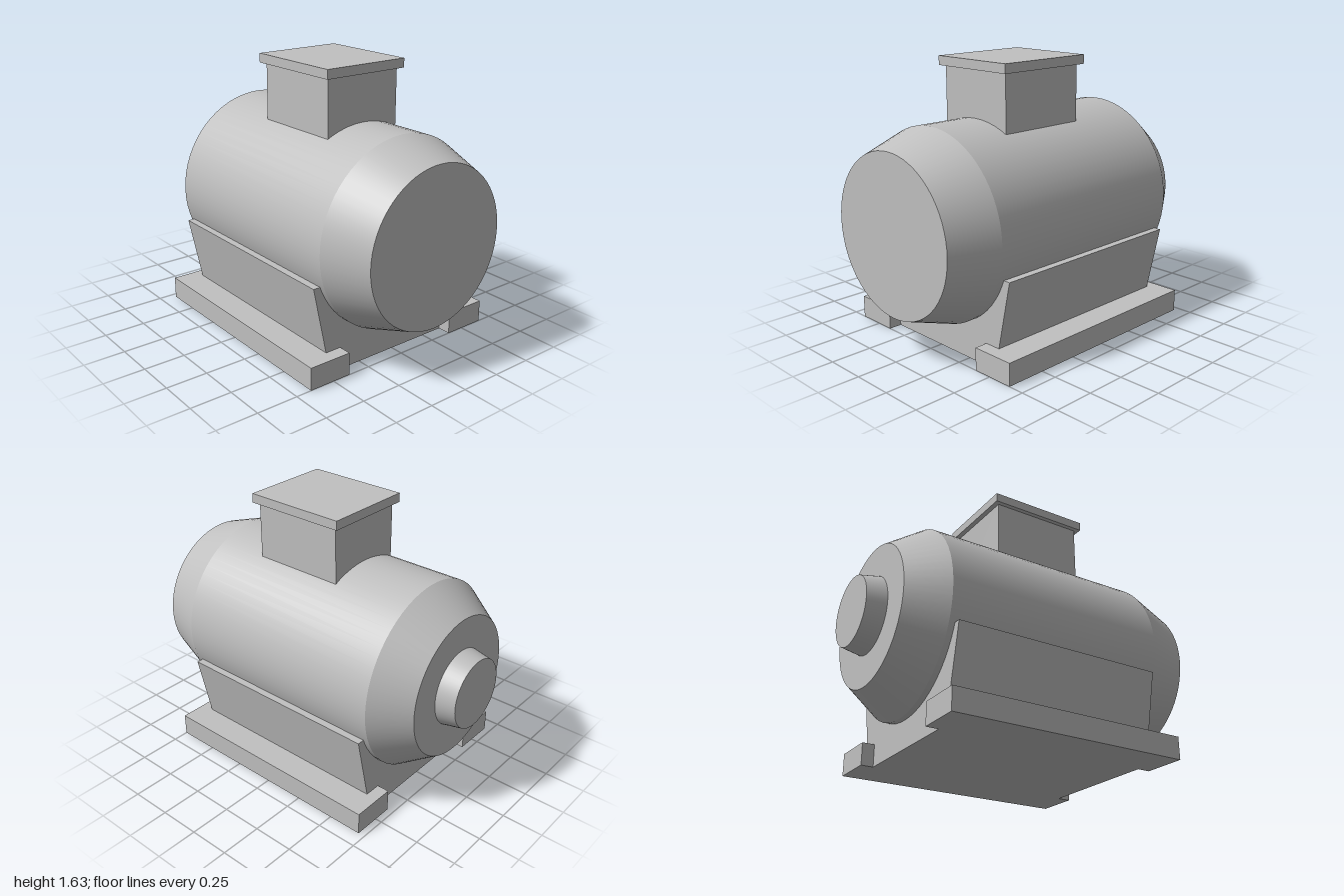
import * as THREE from 'three';

export function createModel() {
  const model = new THREE.Group();
  model.name = 'electricMotor';
  const grey = new THREE.MeshStandardMaterial({ color: 0xc0c0c0 });
  grey.name = 'machine grey';

  const add = (name, geometry) => {
    const mesh = new THREE.Mesh(geometry, grey);
    mesh.name = name;
    model.add(mesh);
    return mesh;
  };

  // Box given by its lower and upper limits on each axis
  const box = (name, [x0, x1], [y0, y1], [z0, z1]) =>
    add(name, new THREE.BoxGeometry(x1 - x0, y1 - y0, z1 - z0))
      .position.set((x0 + x1) / 2, (y0 + y1) / 2, (z0 + z1) / 2);

  // Round section along x, from radius r0 at x0 to r1 at x1
  const axisY = 0.733;
  const round = (name, x0, x1, r0, r1, open = false) => {
    const g = new THREE.CylinderGeometry(r1, r0, x1 - x0, 64, 1, open);
    g.rotateZ(-Math.PI / 2);
    add(name, g).position.set((x0 + x1) / 2, axisY, 0);
  };

  // Motor housing and shaft boss
  round('housing', -0.67, 0.71, 0.566, 0.566, true);
  round('driveEndBell', -0.885, -0.67, 0.422, 0.566);
  round('fanCover', 0.71, 1, 0.566, 0.47);
  round('shaftBoss', -1, -0.885, 0.208, 0.23);

  // Cradle with sides that flare upward
  const [cx0, cx1] = [-0.635, 0.67];
  const profile = new THREE.Shape([
    new THREE.Vector2(-0.462, 0), new THREE.Vector2(0.462, 0),
    new THREE.Vector2(0.575, 0.54), new THREE.Vector2(-0.575, 0.54),
  ]);
  const cradle = new THREE.ExtrudeGeometry(profile, { depth: cx1 - cx0, bevelEnabled: false });
  cradle.rotateY(Math.PI / 2);
  add('cradle', cradle).position.x = cx0;

  // Mounting feet, front and back
  box('frontFoot', [-0.71, 0.75], [0, 0.135], [0.39, 0.655]);
  box('backFoot', [-0.71, 0.75], [0, 0.135], [-0.655, -0.39]);

  // Terminal box and lid
  box('terminalBox', [-0.195, 0.38], [1.1, 1.58], [-0.25, 0.25]);
  box('terminalLid', [-0.225, 0.41], [1.58, 1.635], [-0.278, 0.278]);

  return model;
}
